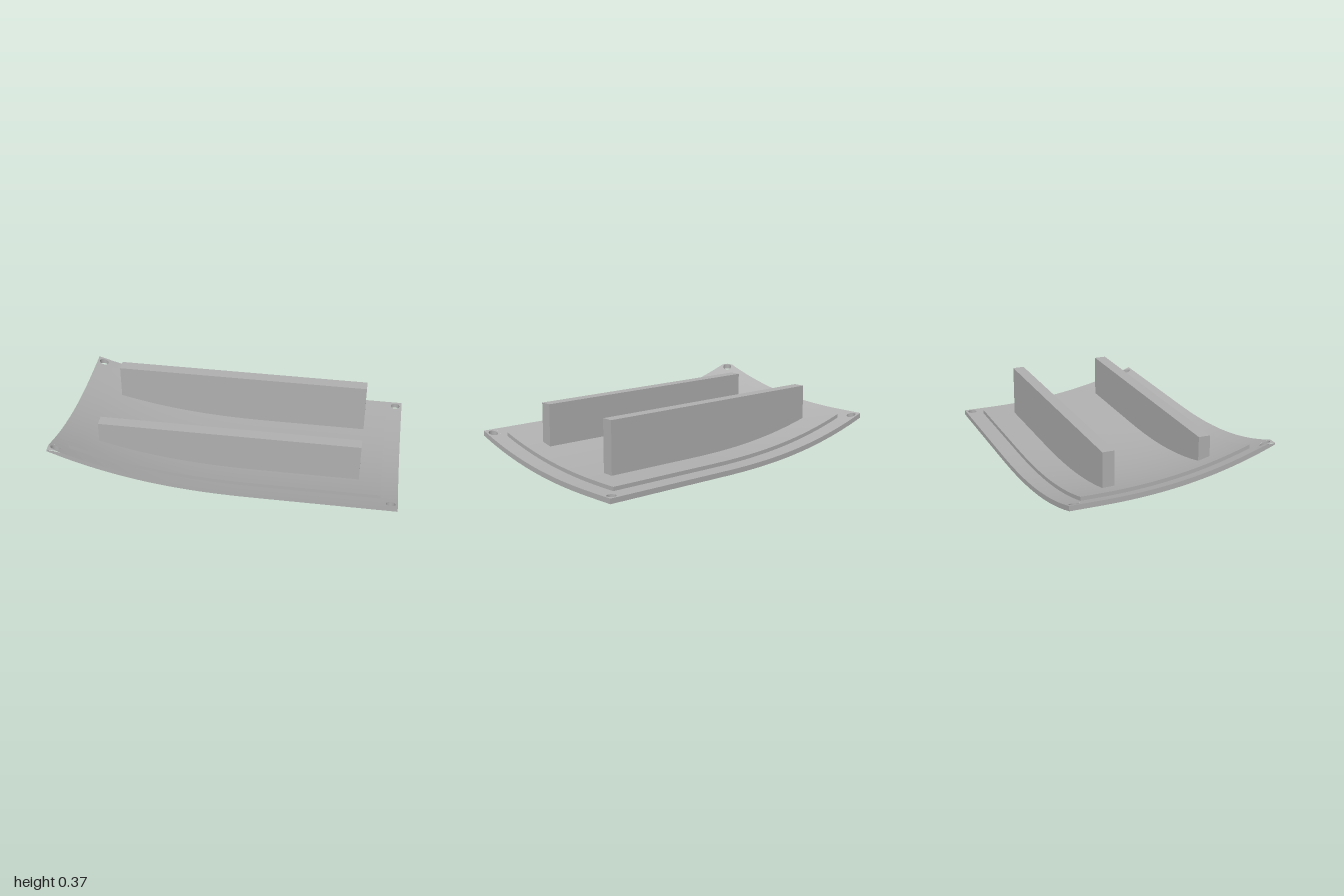
import * as THREE from 'three';
import { mergeVertices, toCreasedNormals } from 'three/addons/utils/BufferGeometryUtils.js';

const TOP = 0.365; // level at which everything is cut off flat
const SHELL = 0.03, PAD = 0.053; // heights of the shell and pad tops above the underside

// height of the curved underside: rises to the right (-x) and to the front (+z)
function under(x, z) {
  const f = 0.17 * Math.pow(Math.max(0, (0.2 - x) / 1.2), 2.4);
  const g = 0.155 * Math.pow(Math.max(0, (z + 0.45) / 1.05), 2.3);
  return f + g + 1.1 * f * g;
}

// evenly spaced values between a and b
const steps = (a, b, n) => Array.from({ length: n + 1 }, (_, i) => a + ((b - a) * i) / n);

// curved plate over a rectangle, optionally with a round hole in each corner
function curvedPlate(hx, hz, low, high, corner, radius) {
  const pos = [];
  const point = (p, h) => [p[0], Math.min(TOP, under(p[0], p[1]) + h), p[1]];
  const quad = (a, b, c, d) => pos.push(...a, ...b, ...c, ...a, ...c, ...d);
  // a, b, c, d run anticlockwise as seen from above
  const cell = (a, b, c, d) => {
    quad(point(a, high), point(b, high), point(c, high), point(d, high));
    quad(point(d, low), point(c, low), point(b, low), point(a, low));
  };
  // wall facing left of the direction b to a, seen from above
  const wall = (a, b) => quad(point(a, low), point(b, low), point(b, high), point(a, high));

  const xs = steps(-hx + corner, hx - corner, 40);
  const zs = steps(-hz + corner, hz - corner, 24);
  if (corner) {
    xs.unshift(-hx); xs.push(hx);
    zs.unshift(-hz); zs.push(hz);
  }
  const nx = xs.length - 1, nz = zs.length - 1;
  for (let i = 0; i < nx; i++) for (let j = 0; j < nz; j++) {
    const [x0, x1, z0, z1] = [xs[i], xs[i + 1], zs[j], zs[j + 1]];
    if (corner && (i === 0 || i === nx - 1) && (j === 0 || j === nz - 1)) {
      // corner cell: ring of quads from the hole out to the square
      const cx = (x0 + x1) / 2, cz = (z0 + z1) / 2, n = 32;
      const inner = [], outer = [];
      for (let k = 0; k <= n; k++) {
        const t = (k / n) * Math.PI * 2, c = Math.cos(t), s = -Math.sin(t);
        const q = corner / 2 / Math.max(Math.abs(c), Math.abs(s));
        inner.push([cx + radius * c, cz + radius * s]);
        outer.push([cx + q * c, cz + q * s]);
      }
      for (let k = 0; k < n; k++) {
        cell(inner[k], outer[k], outer[k + 1], inner[k + 1]);
        wall(inner[k + 1], inner[k]);
      }
    } else {
      cell([x0, z1], [x1, z1], [x1, z0], [x0, z0]);
    }
  }
  // outer walls
  for (let i = 0; i < nx; i++) {
    wall([xs[i], hz], [xs[i + 1], hz]);
    wall([xs[i + 1], -hz], [xs[i], -hz]);
  }
  for (let j = 0; j < nz; j++) {
    wall([hx, zs[j + 1]], [hx, zs[j]]);
    wall([-hx, zs[j]], [-hx, zs[j + 1]]);
  }
  const geo = new THREE.BufferGeometry();
  geo.setAttribute('position', new THREE.Float32BufferAttribute(pos, 3));
  return toCreasedNormals(mergeVertices(geo, 1e-5), 0.5);
}

// upright rib whose lower edge follows the pad
function ribGeometry(z) {
  const geo = new THREE.BoxGeometry(1.54, 1, 0.07, 32, 1, 1);
  const p = geo.attributes.position;
  for (let i = 0; i < p.count; i++) {
    const x = p.getX(i), zz = z + p.getZ(i);
    p.setXYZ(i, x, p.getY(i) > 0 ? TOP : under(x, zz) + PAD - 0.01, zz);
  }
  return toCreasedNormals(geo, 0.5);
}

export function createModel() {
  const group = new THREE.Group();
  const grey = new THREE.MeshStandardMaterial({ color: 0xb0b0b0 });
  grey.name = 'grey';
  const add = (name, geo) => {
    const mesh = new THREE.Mesh(geo, grey);
    mesh.name = name;
    group.add(mesh);
  };
  add('curvedShell', curvedPlate(1, 0.6, 0, SHELL, 0.08, 0.027));
  add('raisedPad', curvedPlate(0.9, 0.5, SHELL - 0.01, PAD, 0, 0));
  add('frontRib', ribGeometry(0.288));
  add('backRib', ribGeometry(-0.288));
  return group;
}
